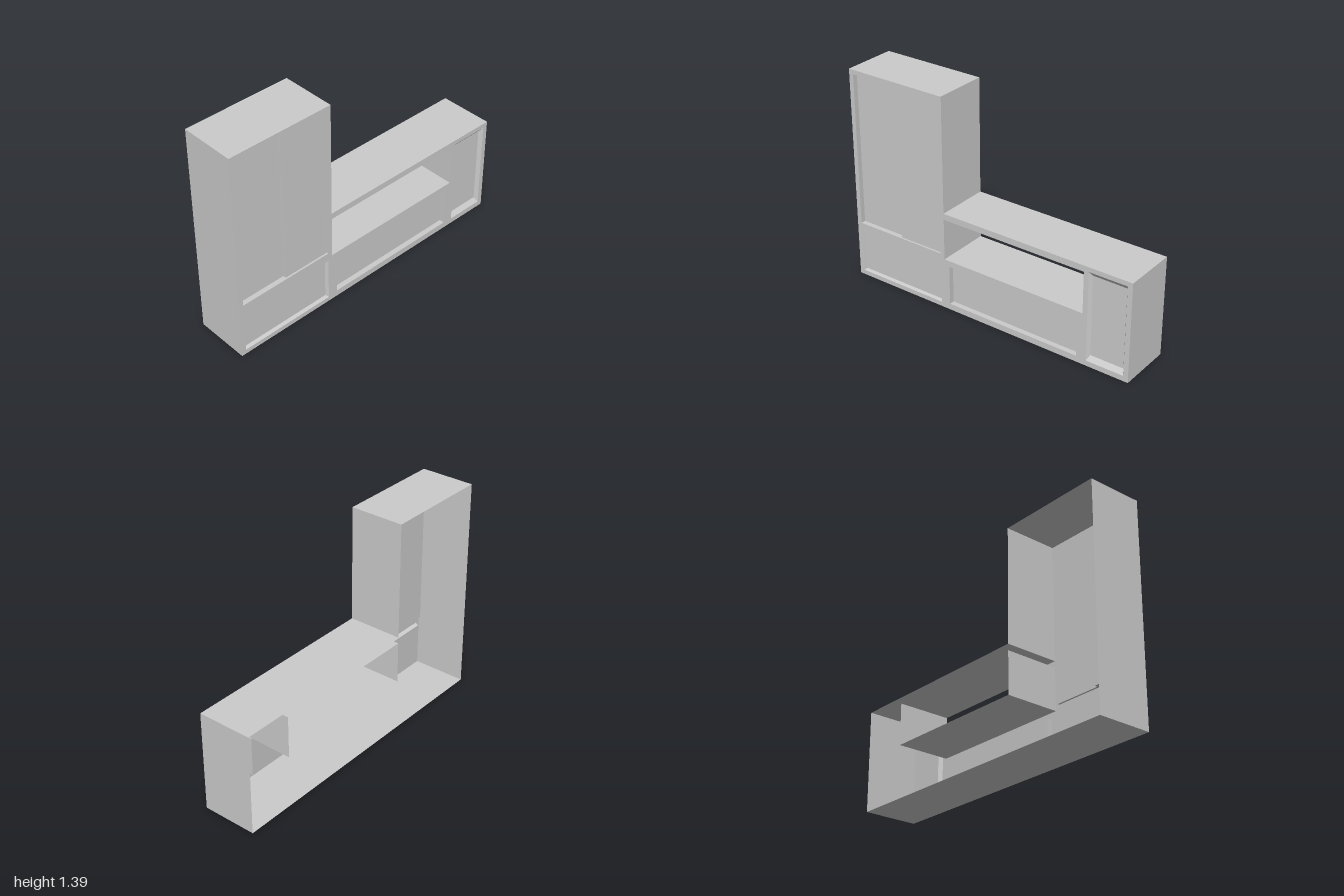
import * as THREE from 'three';

const D = 0.177; // half depth of the unit

export function createModel() {
  const model = new THREE.Group();
  // Work in (u, y) on the face with w as depth; turned so the face looks to +x
  const unit = new THREE.Group();
  unit.name = 'mediaWallUnit';
  unit.rotation.y = Math.PI / 2;
  model.add(unit);

  const material = new THREE.MeshStandardMaterial({
    color: 0xcccccc, flatShading: true, side: THREE.DoubleSide,
  });
  const add = (name, geometry, parent = unit) => {
    const mesh = new THREE.Mesh(geometry, material);
    mesh.name = name;
    parent.add(mesh);
    return mesh;
  };

  const rect = (u0, u1, y0, y1) => [[u0, y0], [u1, y0], [u1, y1], [u0, y1]];

  // Band of quads joining loop a at depth wa to loop b at depth wb
  const band = (a, wa, b, wb) => {
    const pos = [];
    a.forEach((p, i) => {
      const j = (i + 1) % a.length;
      const A = [...p, wa], B = [...a[j], wa], C = [...b[j], wb], E = [...b[i], wb];
      pos.push(...A, ...E, ...B, ...B, ...E, ...C);
    });
    const g = new THREE.BufferGeometry();
    g.setAttribute('position', new THREE.Float32BufferAttribute(pos, 3));
    g.computeVertexNormals();
    return g;
  };

  const toPoints = (loop) => loop.map(([u, y]) => new THREE.Vector2(u, y));
  const panel = (loop, w, holes = []) => {
    const shape = new THREE.Shape(toPoints(loop));
    holes.forEach((h) => shape.holes.push(new THREE.Path(toPoints(h))));
    return new THREE.ShapeGeometry(shape).translate(0, 0, w);
  };

  // L-shaped carcass, open at the rear
  const outline = [[-1, 0], [1, 0], [1, 0.65], [-0.305, 0.65], [-0.305, 1.395], [-1, 1.395]];
  add('carcass', band(outline, -D, outline, D));

  // Openings in the face frame
  const doors = rect(-0.97, -0.335, 0.37, 1.365);
  const niche = rect(-0.305, 0.685, 0.34, 0.61);
  const recesses = [
    ['lowerDrawer', rect(-0.97, -0.335, 0.03, 0.313), rect(-0.962, -0.343, 0.036, 0.303), 0.022],
    ['wideDrawer', rect(-0.27, 0.65, 0.04, 0.30), rect(-0.27, 0.65, 0.04, 0.30), 0.034],
    ['sideCabinet', rect(0.717, 0.968, 0.035, 0.62), rect(0.732, 0.953, 0.065, 0.59), 0.024],
  ];
  add('faceFrame', panel(outline, D, [doors, niche, ...recesses.map((r) => r[1])]));

  // Open shelf passing right through the unit
  add('openShelf', band(niche, D, niche, -D));

  // Recessed drawer and cabinet fronts
  for (const [name, outer, inner, depth] of recesses) {
    const part = new THREE.Group();
    part.name = name;
    unit.add(part);
    add(name + 'Reveal', band(outer, D, inner, D - depth), part);
    add(name + 'Panel', panel(inner, D - depth), part);
  }

  // Pair of tall doors, one set behind the other
  const near = D - 0.012, far = D - 0.032;
  const leftDoor = rect(-0.97, -0.65, 0.37, 1.365);
  add('doorReveal', band(doors, D, doors, near));
  add('frontDoor', panel(rect(-0.65, -0.335, 0.37, 1.365), near));
  add('rearDoorReveal', band(leftDoor, near, leftDoor, far));
  add('rearDoor', panel(leftDoor, far));

  return model;
}
